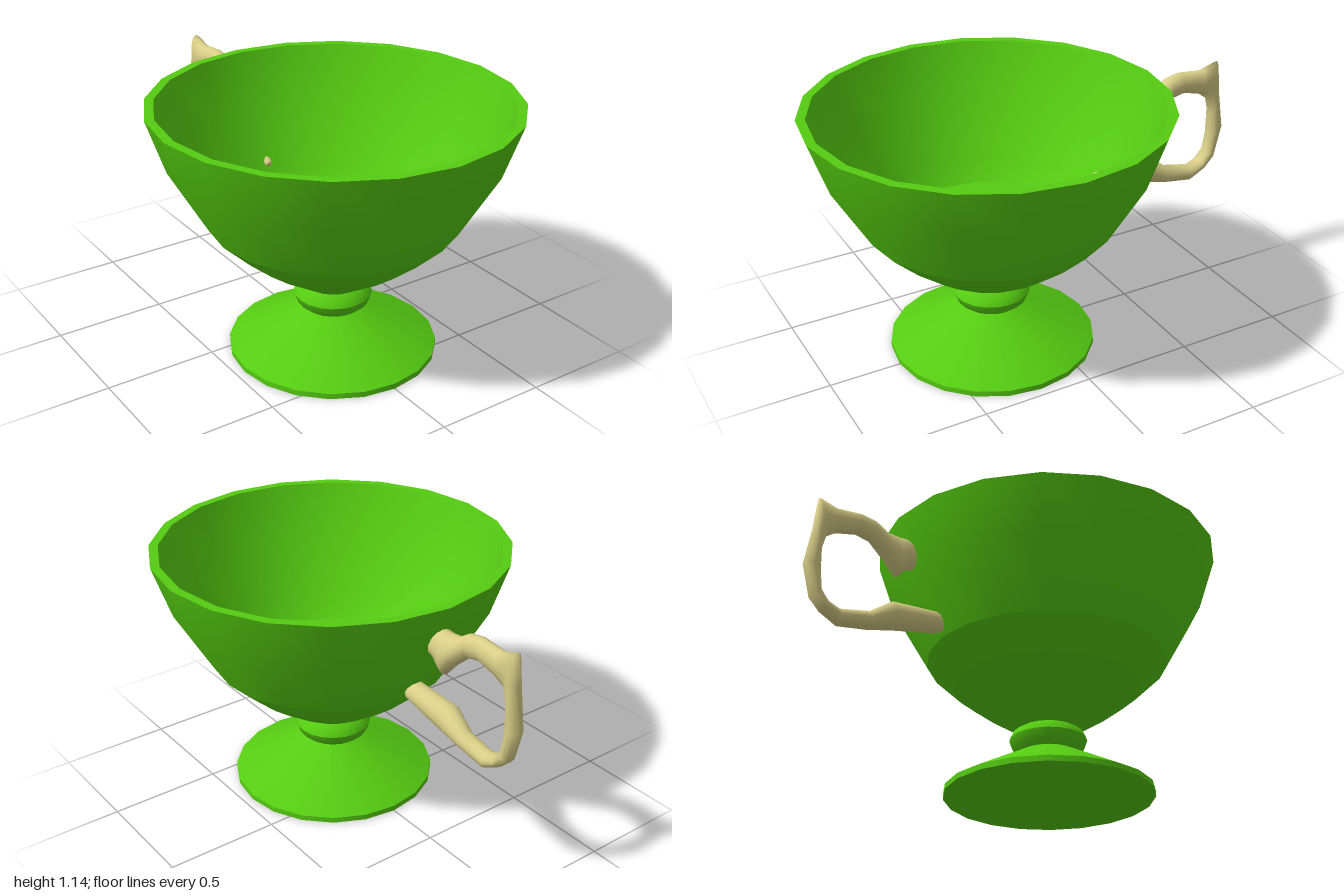
import * as THREE from 'three';

const SIDES = 20;
const CUP_Z = 0.215;

const green = new THREE.MeshStandardMaterial({ color: 0x55cc11 });
const cream = new THREE.MeshStandardMaterial({ color: 0xdacf88 });

// Revolves one smooth stretch of the profile; breaks between stretches stay sharp.
function turned(name, ...stretches) {
  const group = new THREE.Group();
  group.name = name;
  for (const pts of stretches) {
    const profile = pts.map(([r, y]) => new THREE.Vector2(r, y));
    const mesh = new THREE.Mesh(new THREE.LatheGeometry(profile, SIDES), green);
    mesh.name = name + 'Surface';
    group.add(mesh);
  }
  return group;
}

// Lofts elliptical rings; each row is outer z, outer y, inner z, inner y, half width.
function loft(rows, sides) {
  const pos = [], index = [];
  for (const [oz, oy, iz, iy, w] of rows) {
    for (let j = 0; j < sides; j++) {
      const a = (j / sides) * Math.PI * 2, c = Math.cos(a) / 2;
      pos.push(w * Math.sin(a), (oy + iy) / 2 + (oy - iy) * c, (oz + iz) / 2 + (oz - iz) * c);
    }
  }
  for (let i = 0; i < rows.length - 1; i++) {
    for (let j = 0; j < sides; j++) {
      const k = (j + 1) % sides;
      const a = i * sides + j, b = i * sides + k;
      index.push(a, b, a + sides, b, b + sides, a + sides);
    }
  }
  const geo = new THREE.BufferGeometry();
  geo.setAttribute('position', new THREE.Float32BufferAttribute(pos, 3));
  geo.setIndex(index);
  geo.computeVertexNormals();
  return geo;
}

export function createModel() {
  const model = new THREE.Group();
  model.name = 'footedCup';

  const cup = new THREE.Group();
  cup.name = 'cup';
  cup.position.z = CUP_Z;
  model.add(cup);

  // Foot: flat underside, thin edge, cone
  cup.add(turned('foot',
    [[0, 0], [0.46, 0]],
    [[0.46, 0], [0.46, 0.025]],
    [[0.46, 0.025], [0.13, 0.2]]));

  // Knob between foot and bowl
  cup.add(turned('stemRing',
    [[0.13, 0.2], [0.157, 0.222], [0.172, 0.262]],
    [[0.172, 0.262], [0.157, 0.293], [0.13, 0.31]]));

  // Bowl outside, rim, inside wall and floor
  cup.add(turned('bowl',
    [[0.13, 0.31], [0.31, 0.427], [0.42, 0.51]],
    [[0.42, 0.51], [0.545, 0.63]],
    [[0.545, 0.63], [0.706, 0.91], [0.785, 1.145]],
    [[0.785, 1.145], [0.745, 1.145]],
    [[0.745, 1.145], [0.665, 0.915], [0.505, 0.645], [0.435, 0.565]],
    [[0.435, 0.565], [0, 0.565]]));

  // Handle, from the upper mount round to the lower mount
  const handle = new THREE.Mesh(loft([
    [-0.495, 1.03, -0.475, 0.91, 0.045],
    [-0.54, 1.04, -0.525, 0.9, 0.058],
    [-0.575, 1.04, -0.565, 0.85, 0.06],
    [-0.63, 1.045, -0.61, 0.905, 0.055],
    [-0.685, 1.083, -0.7, 0.985, 0.043],
    [-0.75, 1.097, -0.765, 0.997, 0.038],
    [-0.87, 1.087, -0.86, 0.972, 0.038],
    [-0.95, 1.115, -0.905, 0.94, 0.036],
    [-0.965, 0.97, -0.925, 0.86, 0.036],
    [-0.997, 0.79, -0.92, 0.76, 0.036],
    [-0.957, 0.64, -0.912, 0.68, 0.038],
    [-0.905, 0.59, -0.88, 0.635, 0.04],
    [-0.825, 0.545, -0.83, 0.617, 0.04],
    [-0.68, 0.567, -0.695, 0.645, 0.042],
    [-0.575, 0.595, -0.595, 0.718, 0.06],
    [-0.36, 0.638, -0.37, 0.732, 0.046],
    [-0.3, 0.665, -0.3, 0.69, 0.016],
    [-0.3, 0.677, -0.3, 0.677, 0],
  ], 12), cream);
  handle.name = 'handle';
  model.add(handle);

  return model;
}
